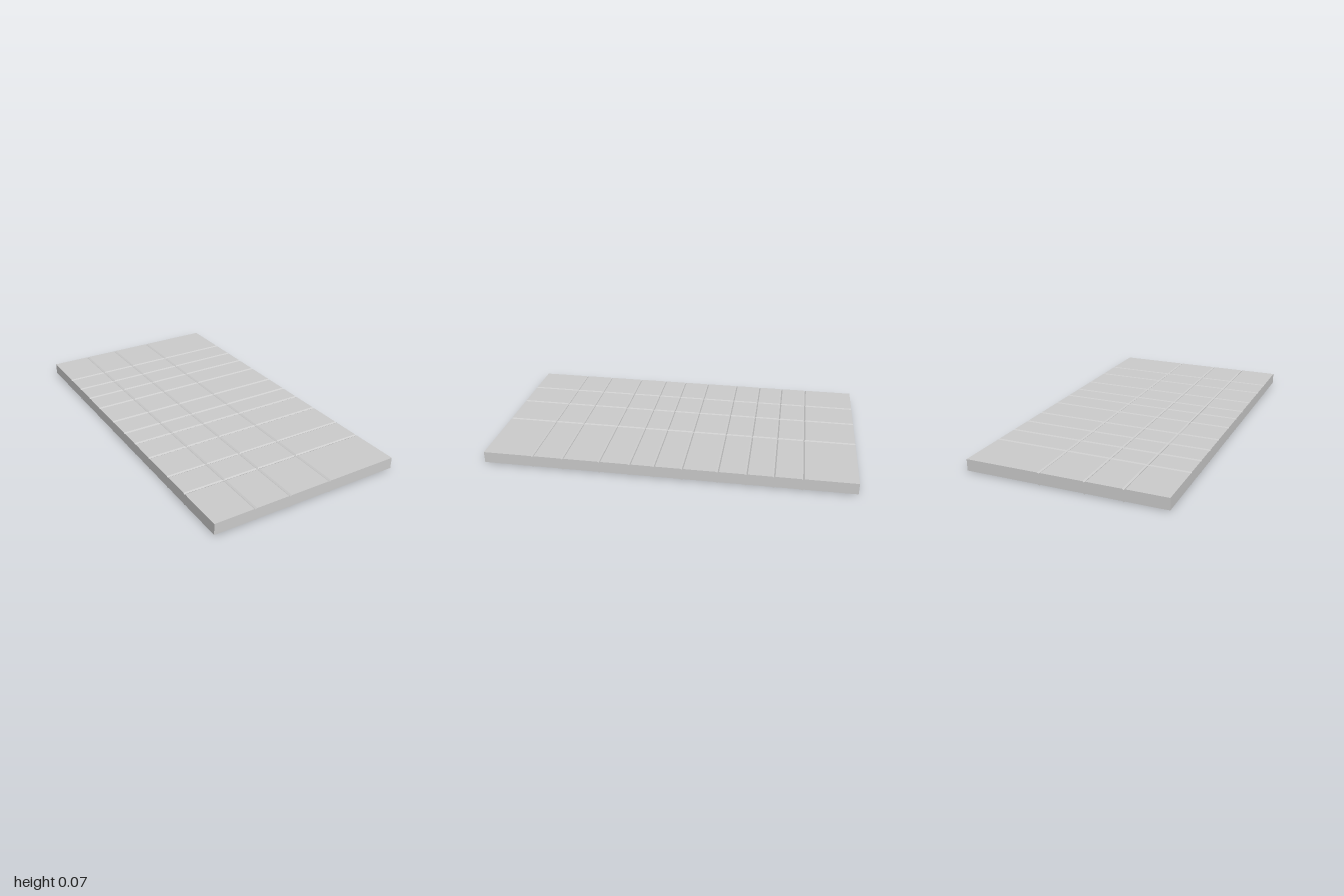
import * as THREE from 'three';

const HALF_X = 0.54, HALF_Z = 1.0;
const TOP = 0.067, DROP = 0.062, DEPTH = 0.005, HALF_GROOVE = 0.008;
const GROOVES_X = [-0.314, -0.113, 0.129];
const GROOVES_Z = [-0.717, -0.569, -0.427, -0.278, -0.09, 0.06, 0.191, 0.357, 0.559, 0.726];

// Grid lines across one axis: the two rims plus both lips and the bottom of each V groove
function gridLines(half, grooves) {
  const lines = [{ at: -half, low: false }];
  for (const g of grooves) {
    lines.push({ at: g - HALF_GROOVE, low: false }, { at: g, low: true }, { at: g + HALF_GROOVE, low: false });
  }
  lines.push({ at: half, low: false });
  return lines;
}

// Flat-faced geometry from a list of triangle corners
function facets(points) {
  const geometry = new THREE.BufferGeometry().setFromPoints(points);
  geometry.computeVertexNormals();
  return geometry;
}

export function createModel() {
  const group = new THREE.Group();
  group.name = 'groovedPanel';
  const grey = new THREE.MeshStandardMaterial({ color: 0xcccccc, side: THREE.DoubleSide, flatShading: true });
  grey.name = 'panel grey';

  const xs = gridLines(HALF_X, GROOVES_X);
  const zs = gridLines(HALF_Z, GROOVES_Z);
  const point = (x, z) => new THREE.Vector3(x.at, TOP - (x.low || z.low ? DEPTH : 0), z.at);

  // Top sheet, with V grooves mitred where they cross
  const top = [];
  for (let i = 0; i < xs.length - 1; i++) {
    for (let j = 0; j < zs.length - 1; j++) {
      const a = point(xs[i], zs[j]), b = point(xs[i], zs[j + 1]);
      const c = point(xs[i + 1], zs[j + 1]), d = point(xs[i + 1], zs[j]);
      if (a.y !== c.y) top.push(a, b, c, a, c, d);
      else top.push(a, b, d, b, c, d);
    }
  }
  const sheet = new THREE.Mesh(facets(top), grey);
  sheet.name = 'groovedTop';
  group.add(sheet);

  // Thin side walls: each rim line swept straight down, open underneath
  const first = { x: xs[0], z: zs[0] };
  const last = { x: xs[xs.length - 1], z: zs[zs.length - 1] };
  const rims = {
    frontWall: xs.map((x) => point(x, last.z)),
    rightWall: zs.map((z) => point(first.x, z)),
    backWall: xs.map((x) => point(x, first.z)).reverse(),
    leftWall: zs.map((z) => point(last.x, z)).reverse(),
  };
  for (const [name, rim] of Object.entries(rims)) {
    const wall = [];
    const below = rim.map((p) => new THREE.Vector3(p.x, p.y - DROP, p.z));
    for (let i = 0; i < rim.length - 1; i++) {
      wall.push(rim[i], below[i], below[i + 1], rim[i], below[i + 1], rim[i + 1]);
    }
    const mesh = new THREE.Mesh(facets(wall), grey);
    mesh.name = name;
    group.add(mesh);
  }
  return group;
}
